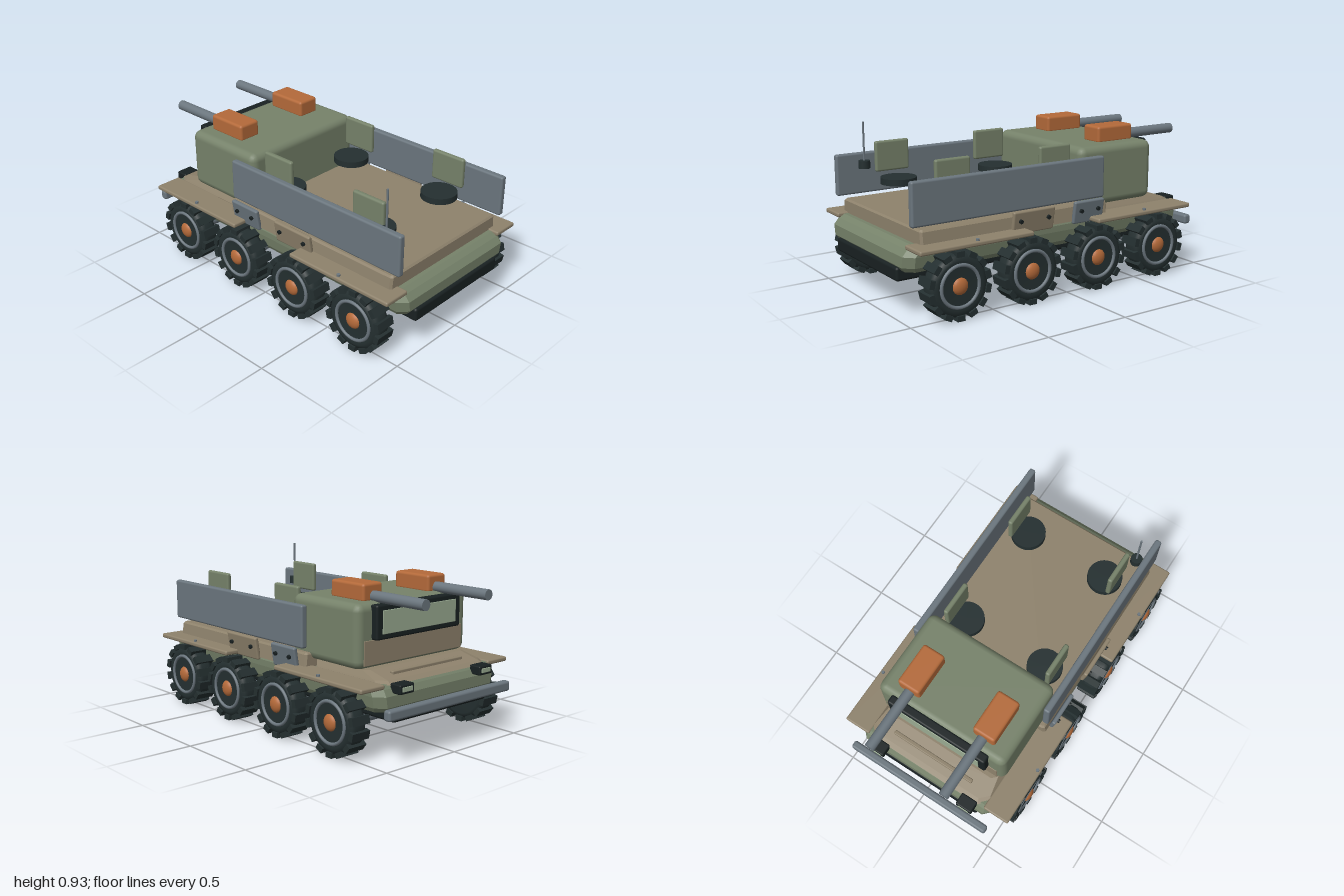
import * as THREE from 'three';
import { RoundedBoxGeometry } from 'three/addons/geometries/RoundedBoxGeometry.js';

const mat = (name, color) => {
  const m = new THREE.MeshStandardMaterial({ color });
  m.name = name;
  return m;
};

export function createModel() {
  const model = new THREE.Group();
  const green = mat('olive green', 0x76826a);
  const tan = mat('tan', 0x8e826c);
  const orange = mat('orange', 0xb46a3a);
  const steel = mat('steel grey', 0x6b767e);
  const dark = mat('dark rubber', 0x242f30);
  const black = mat('black', 0x192122);
  const glass = mat('pale glass', 0x9aab92);

  const add = (name, geo, material, x = 0, y = 0, z = 0, parent = model) => {
    const m = new THREE.Mesh(geo, material);
    m.name = name;
    m.position.set(x, y, z);
    parent.add(m);
    return m;
  };
  // rounded box given by its limits on each axis
  const block = (name, material, x0, x1, y0, y1, z0, z1, r = 0.01) =>
    add(name, new RoundedBoxGeometry(x1 - x0, y1 - y0, z1 - z0, 2, r), material,
      (x0 + x1) / 2, (y0 + y1) / 2, (z0 + z1) / 2);
  const mirrored = (fn) => [-1, 1].forEach(fn);
  // same block on both sides
  const pair = (name, material, x0, x1, ...rest) => mirrored((s) =>
    block(name, material, Math.min(s * x0, s * x1), Math.max(s * x0, s * x1), ...rest));

  // stacked corner-cut rectangles: [y, half width, back z, front z, corner cut]
  const loft = (sections) => {
    const rings = sections.map(([y, w, a, b, c]) => [
      [w, y, b - c], [w, y, a + c], [w - c, y, a], [c - w, y, a],
      [-w, y, a + c], [-w, y, b - c], [c - w, y, b], [w - c, y, b]]);
    const pos = [];
    const tri = (...p) => p.forEach((v) => pos.push(...v));
    for (let k = 0; k < rings.length - 1; k++) {
      for (let i = 0; i < 8; i++) {
        const j = (i + 1) % 8, lo = rings[k], hi = rings[k + 1];
        tri(lo[i], lo[j], hi[j]);
        tri(lo[i], hi[j], hi[i]);
      }
    }
    const bottom = rings[0], top = rings[rings.length - 1];
    for (let i = 1; i < 7; i++) {
      tri(top[0], top[i], top[i + 1]);
      tri(bottom[0], bottom[i + 1], bottom[i]);
    }
    const g = new THREE.BufferGeometry();
    g.setAttribute('position', new THREE.Float32BufferAttribute(pos, 3));
    g.computeVertexNormals();
    return g;
  };

  // hull, belly, deck and hood
  add('hull', loft([
    [0.265, 0.435, -0.88, 0.97, 0.04], [0.29, 0.45, -0.9, 0.99, 0.05],
    [0.35, 0.46, -0.9, 0.99, 0.05], [0.385, 0.46, -0.88, 0.96, 0.05],
    [0.405, 0.45, -0.86, 0.93, 0.05]]), green);
  block('belly', black, -0.36, 0.36, 0.205, 0.283, -0.905, 1.0, 0.015);
  add('deck', loft([
    [0.395, 0.462, -0.32, 0.905, 0.012], [0.475, 0.452, -0.32, 0.905, 0.012],
    [0.485, 0.442, -0.31, 0.895, 0.01]]), tan);
  add('hood', loft([
    [0.4, 0.41, -0.88, -0.3, 0.05], [0.418, 0.4, -0.85, -0.3, 0.05],
    [0.45, 0.38, -0.72, -0.3, 0.03]]), tan);
  block('hoodRail', tan, -0.27, 0.27, 0.41, 0.446, -0.805, -0.78, 0.006);

  // cabin with windscreen
  block('cabin', green, -0.418, 0.418, 0.445, 0.795, -0.695, -0.155, 0.045);
  block('cabinFrontPanel', tan, -0.375, 0.375, 0.465, 0.6, -0.699, -0.691, 0.003);
  block('windscreenFrame', black, -0.32, 0.32, 0.6, 0.787, -0.735, -0.68, 0.012);
  block('windscreen', glass, -0.28, 0.28, 0.63, 0.757, -0.739, -0.731, 0.003);

  // roof guns
  mirrored((s) => {
    block('gunHousing', orange, s * 0.245 - 0.07, s * 0.245 + 0.07, 0.785, 0.885, -0.625, -0.365, 0.016);
    add('gunBarrel', new THREE.CylinderGeometry(0.03, 0.03, 0.4, 20), steel,
      s * 0.24, 0.815, -0.8).rotation.x = Math.PI / 2;
  });

  // headlights and bumper
  mirrored((s) => {
    const x = s * 0.305;
    block('headlight', black, x - 0.052, x + 0.052, 0.36, 0.412, -0.945, -0.87, 0.008);
    block('headlightLens', glass, x - 0.036, x + 0.036, 0.373, 0.399, -0.949, -0.941, 0.003);
  });
  block('bumper', steel, -0.47, 0.47, 0.248, 0.306, -0.985, -0.938, 0.014);

  // fenders with bolts, and side boards
  pair('rearFender', tan, 0.4, 0.565, 0.385, 0.412, 0.27, 0.97, 0.01);
  pair('frontFender', tan, 0.4, 0.565, 0.385, 0.412, -0.88, -0.175, 0.01);
  mirrored((s) => [-0.53, 0.62].forEach((z) =>
    add('fenderBolt', new THREE.CylinderGeometry(0.01, 0.01, 0.02, 10), steel, s * 0.545, 0.413, z)));
  pair('sideBoard', steel, 0.42, 0.46, 0.505, 0.745, -0.295, 0.955, 0.012);

  // leaning side brackets
  const bracket = (s, material, z0, z1) => {
    const g = new THREE.Group();
    g.name = 'sideBracket';
    g.position.set(s * 0.474, 0.446, (z0 + z1) / 2);
    g.rotation.z = -s * 0.16;
    model.add(g);
    add('bracketPlate', new RoundedBoxGeometry(0.026, 0.132, z1 - z0, 2, 0.01), material, 0, 0, 0, g);
    mirrored((e) => {
      add('bracketBolt', new THREE.CylinderGeometry(0.012, 0.012, 0.016, 10), black,
        s * 0.018, 0.012, e * ((z1 - z0) / 2 - 0.045), g).rotation.z = Math.PI / 2;
    });
  };
  mirrored((s) => {
    bracket(s, tan, 0.08, 0.355);
    bracket(s, steel, -0.27, -0.06);
  });

  // seats and seat backs
  mirrored((s) => [[0.64, 0.645], [-0.03, -0.025]].forEach(([z, zBack]) => {
    add('seat', new THREE.CylinderGeometry(0.105, 0.105, 0.037, 32), dark, s * 0.27, 0.593, z);
    block('seatBack', green, s * 0.34 - 0.015, s * 0.34 + 0.015, 0.64, 0.818, zBack - 0.107, zBack + 0.107, 0.012);
  }));

  // antenna
  add('antennaBase', new THREE.CylinderGeometry(0.034, 0.034, 0.045, 16), dark, -0.382, 0.683, 0.8);
  add('antennaRod', new THREE.CylinderGeometry(0.006, 0.006, 0.24, 8), steel, -0.382, 0.81, 0.8);

  // wheels, built along +x then turned for the other side
  const tyreGeo = new THREE.LatheGeometry([
    [0, -0.058], [0.14, -0.058], [0.165, -0.045], [0.173, -0.025],
    [0.173, 0.025], [0.165, 0.045], [0.14, 0.058], [0.132, 0.05], [0, 0.05],
  ].map(([r, h]) => new THREE.Vector2(r, h)), 40).rotateZ(-Math.PI / 2);
  const lugGeo = new THREE.BoxGeometry(0.12, 0.03, 0.046);
  const ringGeo = new THREE.TorusGeometry(0.114, 0.01, 8, 40).rotateY(Math.PI / 2);
  const hubGeo = new THREE.SphereGeometry(0.048, 20, 12).scale(0.55, 1, 1);
  const wheel = (s, z) => {
    const g = new THREE.Group();
    g.name = 'wheel';
    g.position.set(s * 0.506, 0.188, z);
    g.rotation.y = s < 0 ? Math.PI : 0;
    model.add(g);
    add('tyre', tyreGeo, dark, 0, 0, 0, g);
    const lugs = 14;
    for (let i = 0; i < lugs; i++) {
      const a = (i / lugs) * Math.PI * 2;
      add('tread', lugGeo, dark, 0, 0.173 * Math.cos(a), 0.173 * Math.sin(a), g).rotation.x = a;
    }
    add('rimRing', ringGeo, steel, 0.051, 0, 0, g);
    add('hub', hubGeo, orange, 0.044, 0, 0, g);
  };
  [0.735, 0.278, -0.18, -0.635].forEach((z) => {
    mirrored((s) => wheel(s, z));
    add('axle', new THREE.CylinderGeometry(0.033, 0.033, 0.92, 20), steel,
      0, 0.178, z).rotation.z = Math.PI / 2;
  });

  return model;
}
